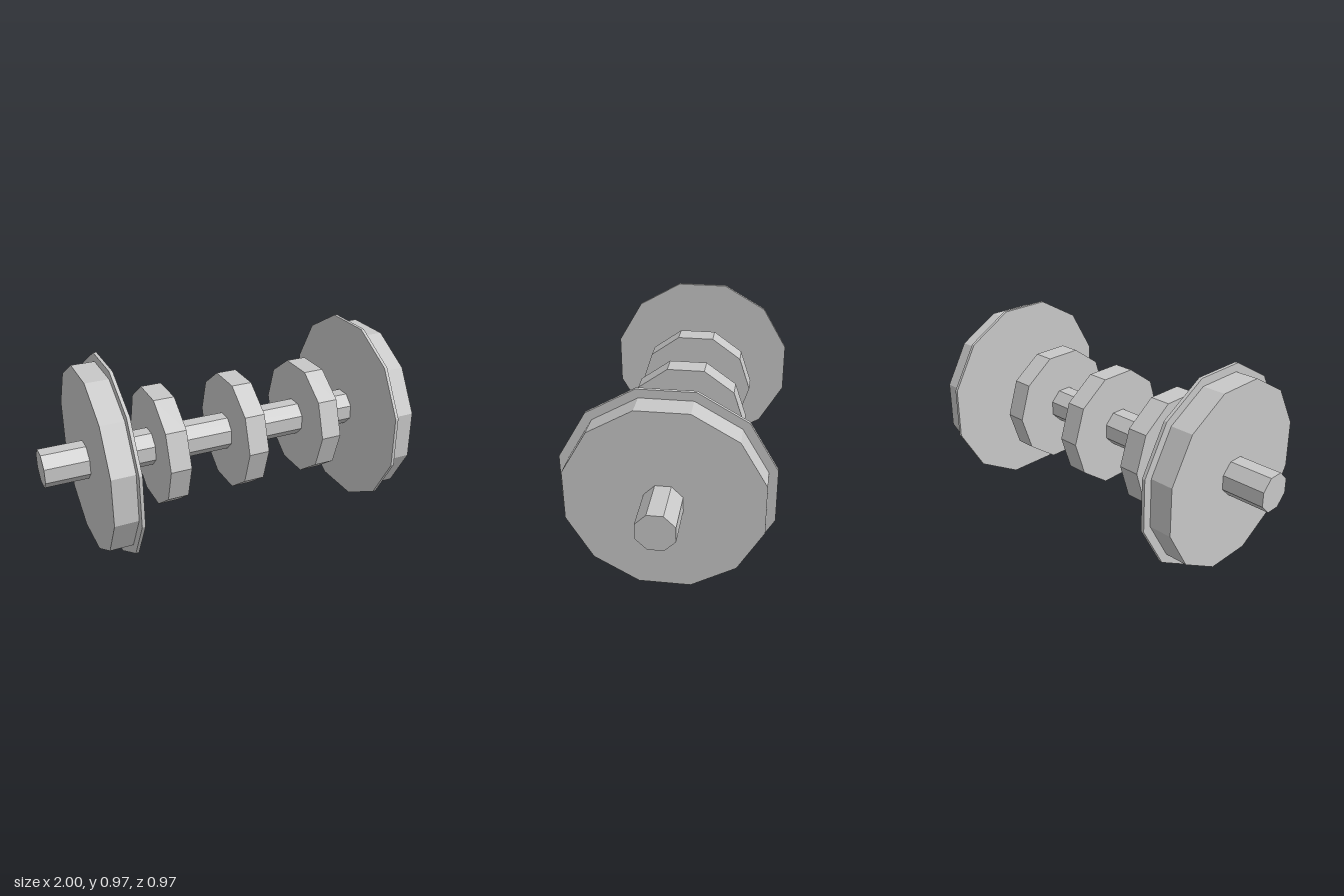
import * as THREE from 'three';

const AXIS_Y = 0.483;

export function createModel() {
  const model = new THREE.Group();
  const steel = new THREE.MeshStandardMaterial({ color: 0xc8c8c8 });
  steel.name = 'steel grey';
  steel.flatShading = true;

  // Faceted disc lying along the x axis, from x0 to x1
  function disc(name, radius, x0, x1, sides, turn) {
    const geometry = new THREE.CylinderGeometry(radius, radius, x1 - x0, sides, 1, false, turn);
    geometry.rotateZ(Math.PI / 2);
    const mesh = new THREE.Mesh(geometry, steel);
    mesh.name = name;
    mesh.position.set((x0 + x1) / 2, AXIS_Y, 0);
    model.add(mesh);
  }

  // Octagonal axle
  disc('axle', 0.0935, -1, 1, 8, Math.PI / 8);

  // Wheels with a thin, wider flange on the inner side
  disc('leftWheel', 0.458, 0.67, 0.785, 12, Math.PI / 12);
  disc('leftFlange', 0.5, 0.655, 0.671, 12, Math.PI / 12);
  disc('rightWheel', 0.458, -0.785, -0.67, 12, Math.PI / 12);
  disc('rightFlange', 0.5, -0.671, -0.655, 12, Math.PI / 12);

  // Three ten-sided discs between the wheels
  ['rightBrakeDisc', 'middleBrakeDisc', 'leftBrakeDisc'].forEach((name, i) => {
    const x = (i - 1) * 0.407;
    disc(name, 0.3, x - 0.052, x + 0.052, 10, 0);
  });

  return model;
}
